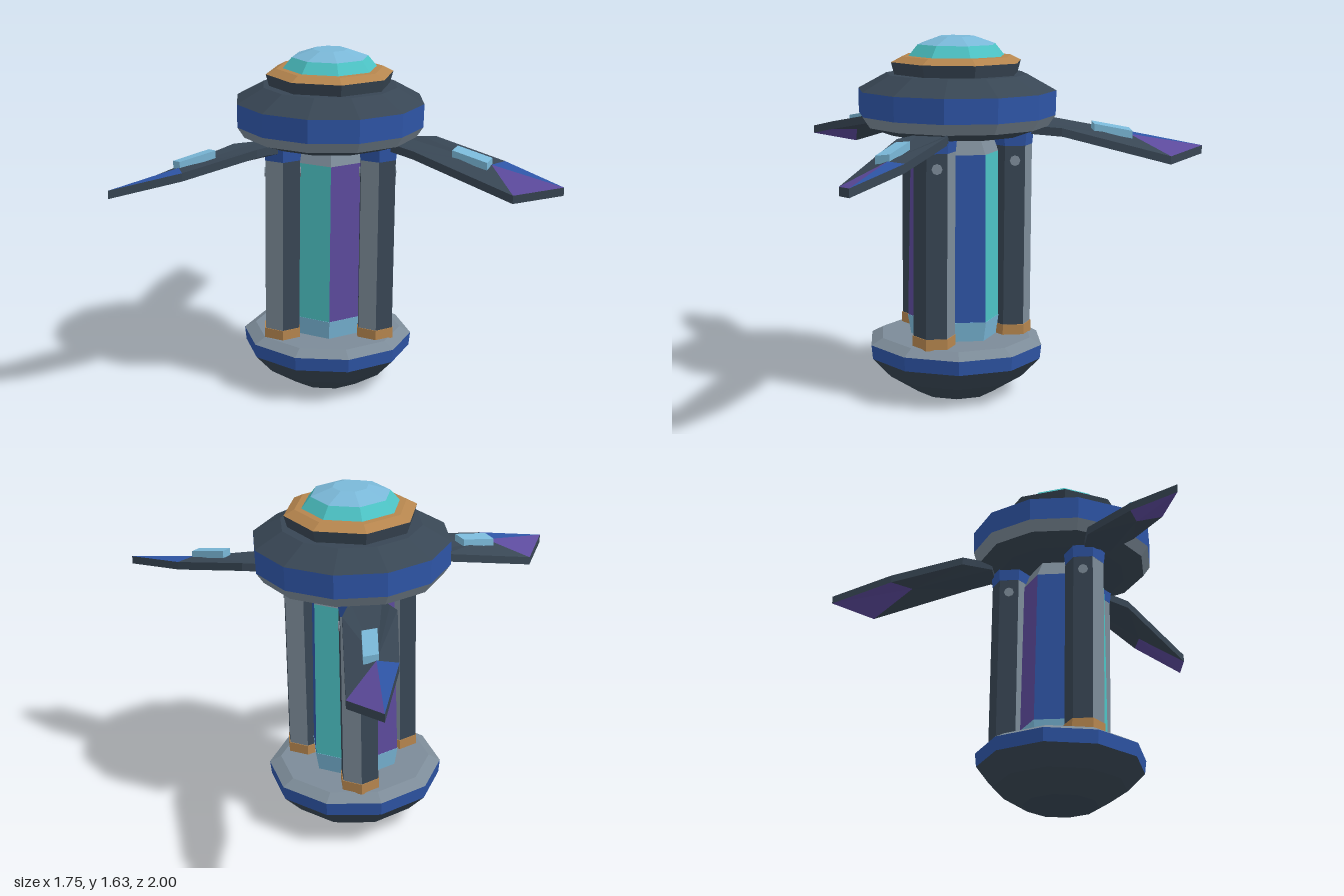
import * as THREE from 'three';

const paint = (name, color) => {
  const m = new THREE.MeshStandardMaterial({ color });
  m.name = name;
  return m;
};

export function createModel() {
  const dark = paint('dark slate', 0x384654);
  const grey = paint('steel grey', 0x7c8b98);
  const blue = paint('deep blue', 0x2e55a6);
  const purple = paint('violet', 0x5c4a9c);
  const teal = paint('teal', 0x4cc2c4);
  const sky = paint('sky blue', 0x7ab8d8);
  const bronze = paint('bronze', 0xb5854e);

  const model = new THREE.Group();
  model.name = 'drone';
  const body = new THREE.Group();
  body.name = 'body';
  body.position.x = 0.28;
  model.add(body);

  // Facets a geometry, keeping its groups
  const facet = (geo) => {
    const g = geo.index ? geo.toNonIndexed() : geo;
    g.computeVertexNormals();
    return g;
  };
  const add = (parent, name, geo, mat) => {
    const mesh = new THREE.Mesh(facet(geo), mat);
    mesh.name = name;
    parent.add(mesh);
    return mesh;
  };

  // Faceted ring; profile is [radius, height] from bottom to top
  const ring = (name, sides, phi, scale, mat, profile) =>
    add(body, name, new THREE.LatheGeometry(
      profile.map(([r, y]) => new THREE.Vector2(r * scale, y)), sides, phi), mat);

  // Base bowl, ten sides with a corner on +x
  const base = (name, mat, p) => ring(name, 10, Math.PI / 2, 1, mat, p);
  base('baseBowl', dark, [[0, 0], [0.18, 0], [0.315, 0.085], [0.4, 0.175]]);
  base('baseBand', blue, [[0.4, 0.175], [0.407, 0.24]]);
  base('baseDeck', grey, [[0.407, 0.24], [0.353, 0.27], [0, 0.27]]);

  // Head, twelve sides with flats on the axes
  const head = (name, mat, p) =>
    ring(name, 12, Math.PI / 12, 1 / Math.cos(Math.PI / 12), mat, p);
  head('headUnderside', dark, [[0, 1.2], [0.3, 1.2], [0.4, 1.237]]);
  head('headLowerBand', grey, [[0.4, 1.237], [0.432, 1.287]]);
  head('headBand', blue, [[0.432, 1.287], [0.434, 1.397]]);
  head('headShoulder', dark, [[0.434, 1.397], [0.31, 1.468], [0, 1.47]]);

  // Collar and lens, eight sides with flats on the axes
  const crown = (name, mat, p) =>
    ring(name, 8, Math.PI / 8, 1 / Math.cos(Math.PI / 8), mat, p);
  crown('collar', dark, [[0.265, 1.465], [0.28, 1.523]]);
  crown('collarTrim', bronze, [[0.28, 1.523], [0.235, 1.548], [0.19, 1.55]]);
  crown('lensRim', teal, [[0.207, 1.548], [0.167, 1.6]]);
  crown('lens', sky, [[0.167, 1.6], [0.075, 1.635], [0, 1.635]]);

  // Six-sided post, corners on +x and -x; a list of materials repeats round the sides
  const post = (parent, name, rTop, rBottom, y0, y1, mats) => {
    const g = new THREE.CylinderGeometry(rTop, rBottom, y1 - y0, 6);
    g.rotateY(Math.PI / 2);
    g.translate(0, (y0 + y1) / 2, 0);
    if (Array.isArray(mats)) {
      g.clearGroups();
      for (let k = 0; k < 6; k++) g.addGroup(k * 6, 6, k % mats.length);
      g.addGroup(36, 36, 0);
    }
    return add(parent, name, g, mats);
  };

  // Central core with its glowing foot and grey neck
  post(body, 'coreFoot', 0.222, 0.205, 0.265, 0.36, sky);
  post(body, 'core', 0.208, 0.22, 0.36, 1.12, [teal, purple, blue]);
  post(body, 'coreNeck', 0.165, 0.208, 1.12, 1.205, grey);

  // Slab from an outline of [out, across, top height], with raised inner points
  const point = ([u, v, y], drop = 0) => [u, y - drop, v];
  const soup = (tris) => {
    const g = new THREE.BufferGeometry();
    g.setAttribute('position', new THREE.Float32BufferAttribute(tris.flat(2), 3));
    return g;
  };
  const slab = (parent, name, pts, thick, topMid, lowMid, mat, topMats, lowMats) => {
    const faces = new Map();
    const put = (m, ...t) => faces.set(m, [...(faces.get(m) || []), t]);
    pts.forEach((a, i) => {
      const b = pts[(i + 1) % pts.length];
      put(topMats[i] || mat, point(topMid), point(b), point(a));
      put(lowMats[i] || mat, point(lowMid), point(a, thick), point(b, thick));
      put(mat, point(a), point(b), point(b, thick));
      put(mat, point(a), point(b, thick), point(a, thick));
    });
    for (const [m, t] of faces) add(parent, `${name} ${m.name}`, soup(t), m);
  };

  const finOutline = [
    [0.34, -0.1, 1.235], [0.42, -0.125, 1.242], [0.48, -0.15, 1.245], [0.84, -0.115, 1.178],
    [1.155, -0.02, 1.12], [0.97, 0.115, 1.09], [0.47, 0.085, 1.222], [0.34, 0.04, 1.23],
  ];
  const plateOutline = [
    [0.635, -0.048, 1.24], [0.81, -0.035, 1.207], [0.81, 0.03, 1.198], [0.635, 0.018, 1.232],
  ];

  for (const deg of [60, 180, 300]) {
    const a = THREE.MathUtils.degToRad(deg);

    // Pillars all share one orientation
    const pillar = new THREE.Group();
    pillar.name = 'pillar';
    pillar.position.set(0.256 * Math.cos(a), 0, 0.256 * Math.sin(a));
    body.add(pillar);
    post(pillar, 'pillarFoot', 0.097, 0.097, 0.265, 0.317, bronze);
    post(pillar, 'pillarShaft', 0.093, 0.093, 0.317, 1.145, [grey, dark, dark]);
    post(pillar, 'pillarCap', 0.1, 0.094, 1.145, 1.205, blue);

    // Bolt through the shaft
    const bolt = new THREE.CylinderGeometry(0.024, 0.024, 0.172, 8);
    bolt.rotateZ(Math.PI / 2);
    bolt.rotateY(-Math.PI / 6);
    bolt.translate(0, 1.078, 0);
    add(pillar, 'bolt', bolt, grey);

    // Drooping fin with a coloured tip and a raised light plate
    const fin = new THREE.Group();
    fin.name = 'fin';
    fin.rotation.y = -a;
    body.add(fin);
    slab(fin, 'finBlade', finOutline, 0.038, [0.81, -0.025, 1.178], [0.75, -0.03, 1.142],
      dark, { 3: blue, 4: purple }, { 3: purple, 4: purple });
    slab(fin, 'finLight', plateOutline, 0.035, [0.7225, -0.009, 1.219], [0.7225, -0.009, 1.184],
      sky, {}, {});
  }
  return model;
}
